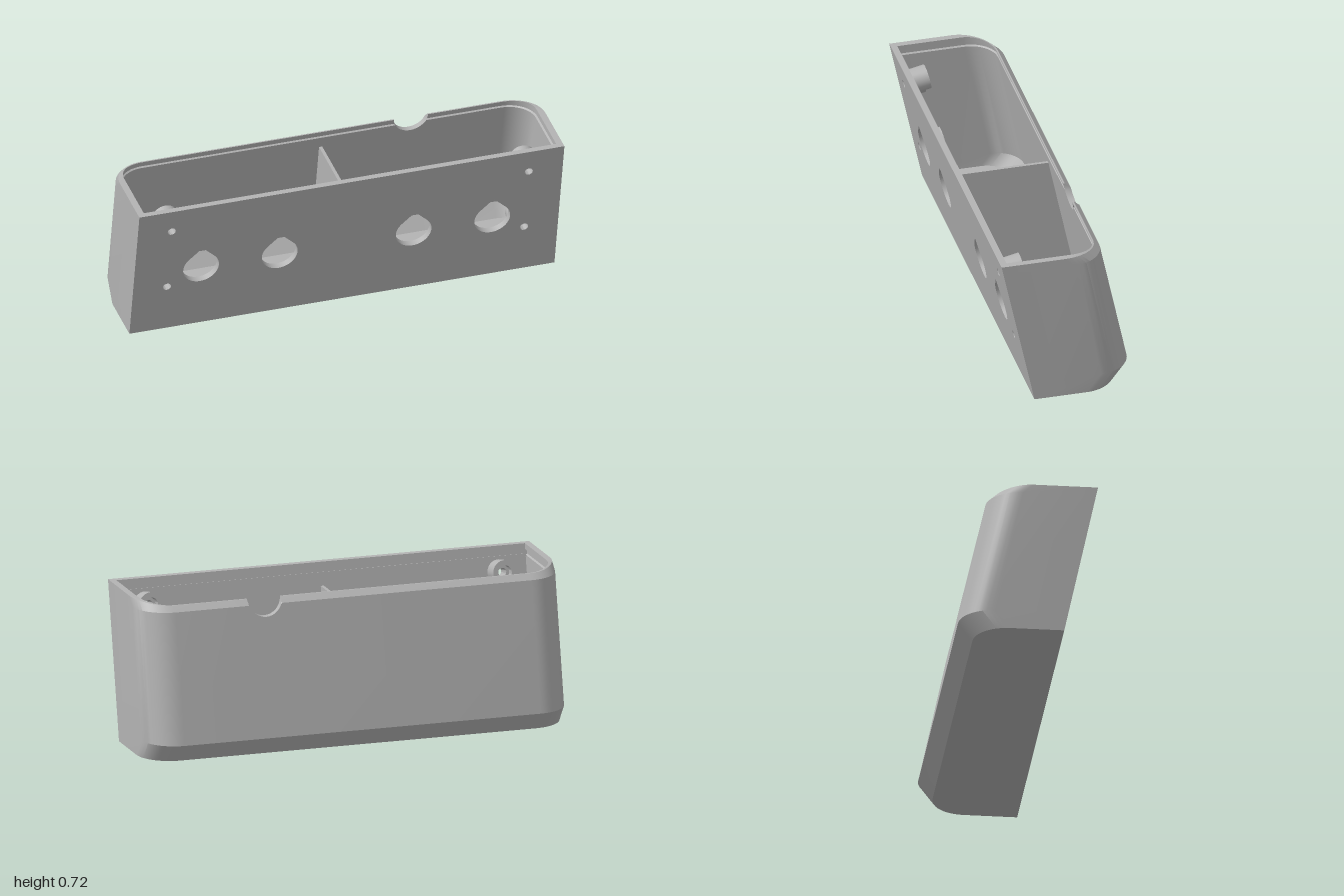
import * as THREE from 'three';
import { toCreasedNormals } from 'three/addons/utils/BufferGeometryUtils.js';

const H = 0.716, SLOPE = 0.213, TILT = Math.atan(SLOPE);
const WALL = 0.03, RADIUS = 0.155, FLOOR = 0.025;
const NOTCH = { x: 0.42, y: 0.70, r: 0.08 };
const frontZ = (y) => 0.157 + SLOPE * y;

// Back profile: chamfer at the foot, leaning wall, chamfer at the rim
function backZ(y, rimChamfer) {
  if (y < 0.085) return -0.242 - 0.065 * (y / 0.085);
  if (y > 0.675 && rimChamfer) return -0.183 + 0.046 * (y - 0.675) / (H - 0.675);
  return -0.307 + 0.21 * (y - 0.085);
}

// Open U-shaped section from the left front, round the back, to the right front
function section(y, inset, outer) {
  const w = 1 - inset, r = RADIUS - inset, flat = w - r, n = 12, pts = [];
  const corner = (side, i) => {
    const a = (i / n) * Math.PI / 2;
    const yy = Math.min(y, H - 0.016 * Math.sin(a) ** 2);
    const z = backZ(yy, outer) + inset + r - r * Math.sin(a);
    pts.push(new THREE.Vector3(side * (flat + r * Math.cos(a)), yy, z));
  };
  pts.push(new THREE.Vector3(w, y, frontZ(y) - WALL));
  for (let i = 0; i <= n; i++) corner(1, i);
  // columns across the cable notch
  for (let i = 0; i <= 16; i++) {
    const a = (i / 16) * Math.PI;
    const yy = Math.min(y, NOTCH.y - NOTCH.r * Math.sin(a));
    pts.push(new THREE.Vector3(NOTCH.x + NOTCH.r * Math.cos(a), yy, backZ(yy, outer) + inset));
  }
  for (let i = n; i >= 0; i--) corner(-1, i);
  pts.push(new THREE.Vector3(-w, y, frontZ(y) - WALL));
  return pts;
}

// Shell: outside up, over the rim, inside down past the lid groove to the floor
function shellGeometry() {
  const rings = [0, 0.085, 0.675, H].map((y) => section(y, 0, true));
  const inside = [[H, WALL], [0.69, WALL], [0.685, 0.022], [0.67, 0.022], [0.665, WALL], [0.085, WALL], [FLOOR, WALL]];
  inside.forEach(([y, t]) => rings.push(section(y, t, false)));
  const pos = [];
  const tri = (...v) => v.forEach((p) => pos.push(p.x, p.y, p.z));
  for (let k = 0; k < rings.length - 1; k++) {
    const a = rings[k], b = rings[k + 1];
    for (let i = 0; i < a.length - 1; i++) {
      tri(a[i], a[i + 1], b[i + 1]);
      tri(a[i], b[i + 1], b[i]);
    }
  }
  const foot = rings[0], floor = rings[rings.length - 1];
  const c0 = new THREE.Vector3(0, 0, 0), c1 = new THREE.Vector3(0, FLOOR, 0);
  for (let i = 0; i < foot.length; i++) {
    const j = (i + 1) % foot.length;
    tri(c0, foot[j], foot[i]);
    tri(c1, floor[i], floor[j]);
  }
  const g = new THREE.BufferGeometry();
  g.setAttribute('position', new THREE.Float32BufferAttribute(pos, 3));
  return toCreasedNormals(g, 0.4);
}

// Circle with a right-angled point; dir 1 points up, -1 points down
function teardrop(PathType, x, y, r, dir = 1) {
  const p = new PathType();
  for (let i = 0; i <= 36; i++) {
    const a = Math.PI * (0.75 + 1.5 * i / 36);
    p[i ? 'lineTo' : 'moveTo'](x + r * Math.cos(a), y + dir * r * Math.sin(a));
  }
  p.lineTo(x, y + dir * r * Math.SQRT2);
  p.closePath();
  return p;
}

function circle(x, y, r) {
  const p = new THREE.Path();
  p.absarc(x, y, r, 0, Math.PI * 2, true);
  return p;
}

const SCREW_X = 0.84, SCREW_Y = [0.255, 0.595];

// Leaning front panel; the holes run square to its face
function panelGeometry() {
  const s = new THREE.Shape();
  s.moveTo(-1, 0); s.lineTo(1, 0); s.lineTo(1, H); s.lineTo(-1, H); s.closePath();
  for (const x of [-0.685, -0.315, 0.315, 0.685]) s.holes.push(teardrop(THREE.Path, x, 0.34, 0.084));
  for (const x of [-SCREW_X, SCREW_X]) for (const y of SCREW_Y) s.holes.push(circle(x, y, 0.019));
  const g = new THREE.ExtrudeGeometry(s, { depth: WALL, bevelEnabled: false, curveSegments: 20 });
  const p = g.attributes.position;
  for (let i = 0; i < p.count; i++) {
    let y = p.getY(i);
    const w = p.getZ(i) - WALL;
    if (y > 0.001 && y < H - 0.001) y -= w * SLOPE;
    p.setXYZ(i, p.getX(i), y, frontZ(y) + w);
  }
  return toCreasedNormals(g, 0.5);
}

export function createModel() {
  const model = new THREE.Group();
  model.name = 'enclosure';
  const grey = new THREE.MeshStandardMaterial({ color: 0xb3b3b3, side: THREE.DoubleSide });
  grey.name = 'grey plastic';
  const add = (name, geo, parent = model) => {
    const m = new THREE.Mesh(geo, grey);
    m.name = name;
    parent.add(m);
    return m;
  };

  add('shell', shellGeometry());
  add('frontPanel', panelGeometry());

  // Thin ridge under the lid on the inside of the front
  const ridge = add('lidRidge', new THREE.BoxGeometry(1.94, 0.014, 0.012));
  ridge.position.set(0, 0.665, frontZ(0.665) - WALL - 0.003);
  ridge.rotation.x = TILT;

  // Divider wall, shaped to the side profile
  const top = 0.61, d = new THREE.Shape();
  const side = [[FLOOR, frontZ(FLOOR) - 0.02], [top, frontZ(top) - 0.02], [top, backZ(top) + 0.02],
    [0.085, backZ(0.085) + 0.02], [FLOOR, backZ(FLOOR) + 0.02]];
  side.forEach(([y, z], i) => d[i ? 'lineTo' : 'moveTo'](-z, y));
  d.closePath();
  const divider = add('divider', new THREE.ExtrudeGeometry(d, { depth: 0.015, bevelEnabled: false }));
  divider.rotation.y = Math.PI / 2;
  divider.position.x = -0.0075;

  // Screw posts: stepped bore, with a pointed support underneath
  const postProfile = [[0.019, 0], [0.019, 0.045], [0.032, 0.045], [0.032, 0.085], [0.056, 0.085], [0.056, 0]]
    .map(([r, y]) => new THREE.Vector2(r, y));
  const postGeo = toCreasedNormals(new THREE.LatheGeometry(postProfile, 32), 0.5);
  const web = teardrop(THREE.Shape, 0, 0, 0.055, -1);
  web.holes.push(circle(0, 0, 0.04));
  const webGeo = new THREE.ExtrudeGeometry(web, { depth: 0.06, bevelEnabled: false });
  for (const x of [-SCREW_X, SCREW_X]) for (const y of SCREW_Y) {
    const post = new THREE.Group();
    post.name = 'screwPost';
    post.position.set(x, y + 0.028 * SLOPE, frontZ(y) - 0.027);
    post.rotation.x = TILT;
    model.add(post);
    add('postTube', postGeo, post).rotation.x = -Math.PI / 2;
    add('postSupport', webGeo, post).position.z = -0.06;
  }
  return model;
}
